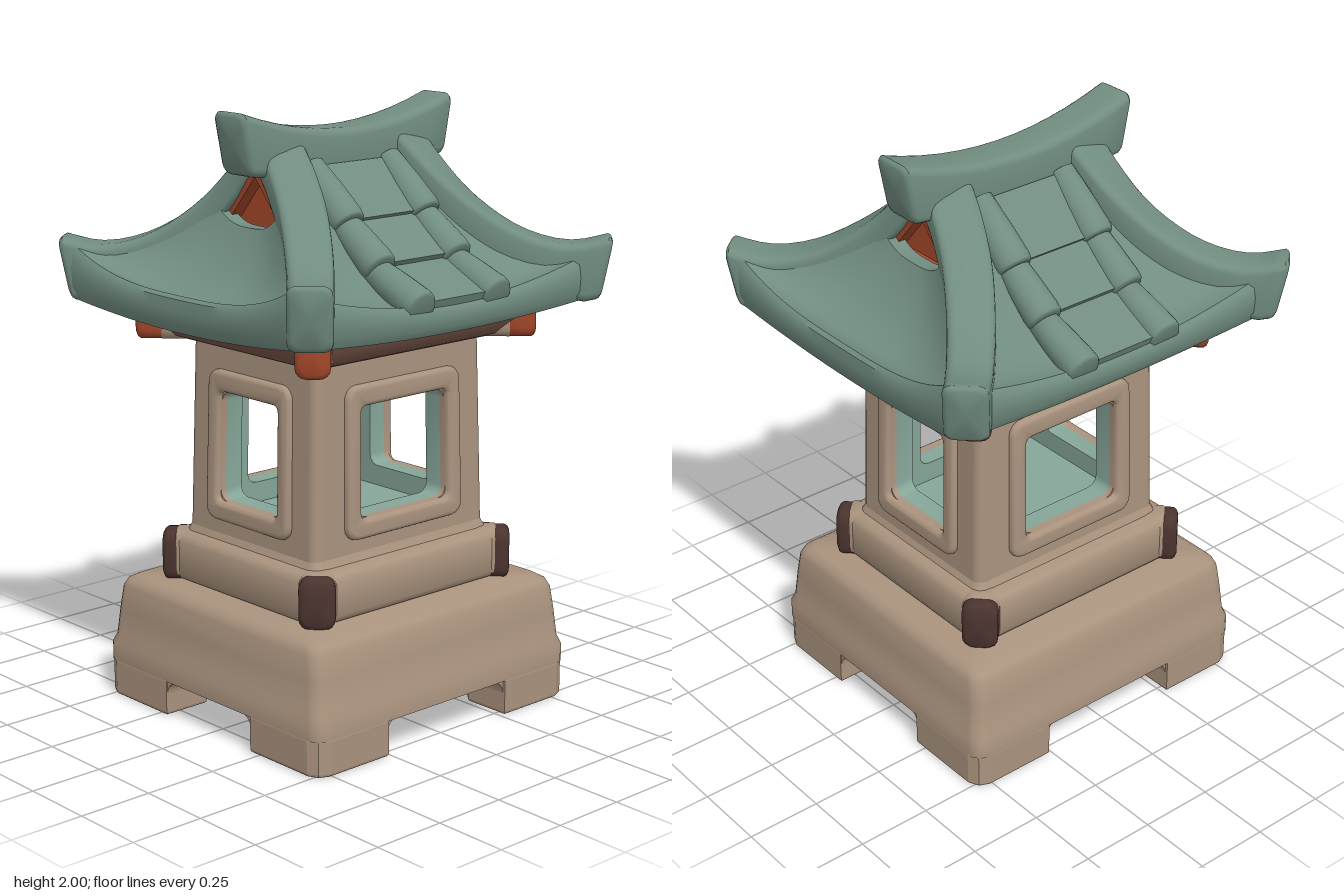
import * as THREE from 'three';
import { toCreasedNormals } from 'three/addons/utils/BufferGeometryUtils.js';

const mat = (name, color, side = THREE.FrontSide) => new THREE.MeshStandardMaterial({ name, color, side });
const V = (x, y, z) => new THREE.Vector3(x, y, z);
const SIGNS = [-1, 1];
const CORNERS = [[1, 1], [1, -1], [-1, 1], [-1, -1]];

// Joins rows of points into a surface; closed rows form a capped tube
function skin(rows, closed = true) {
  const n = rows[0].length, pos = rows.flat().flatMap(p => [p.x, p.y, p.z]), idx = [];
  for (let i = 0; i < rows.length - 1; i++) {
    for (let j = 0; j < (closed ? n : n - 1); j++) {
      const a = i * n + j, b = i * n + (j + 1) % n;
      idx.push(a, b, a + n, b, b + n, a + n);
    }
  }
  if (closed) [0, rows.length - 1].forEach(i => {
    const c = rows[i].reduce((s, p) => s.add(p), V(0, 0, 0)).divideScalar(n), k = pos.length / 3;
    pos.push(c.x, c.y, c.z);
    for (let j = 0; j < n; j++) {
      const a = i * n + j, b = i * n + (j + 1) % n;
      if (i) idx.push(k, a, b); else idx.push(k, b, a);
    }
  });
  const g = new THREE.BufferGeometry();
  g.setAttribute('position', new THREE.Float32BufferAttribute(pos, 3));
  g.setIndex(idx);
  return toCreasedNormals(g, 0.8);
}

// Rounded rectangle as [a, b] pairs
function roundRect(ha, hb, r, n = 4) {
  const pts = [];
  [[1, 1], [-1, 1], [-1, -1], [1, -1]].forEach(([sa, sb], q) => {
    for (let i = 0; i <= n; i++) {
      const t = (q + i / n) * Math.PI / 2;
      pts.push([sa * (ha - r) + r * Math.cos(t), sb * (hb - r) + r * Math.sin(t)]);
    }
  });
  return pts;
}

// Stacks [y, halfX, halfZ] sections
const loft = (sections, r) => skin(sections.map(([y, hx, hz]) => roundRect(hz, hx, r).map(([a, b]) => V(b, y, a))));

// Upright rounded bar through stations { p, w, h, shear }, with rounded ends
function sweep(stations, r = 0.028) {
  const last = stations.length - 1;
  const dir = i => stations[Math.min(i + 1, last)].p.clone().sub(stations[Math.max(i - 1, 0)].p).setY(0).normalize();
  const ring = (i, out = 0, inset = 0) => {
    const { p, w, h, shear = 0 } = stations[i], T = dir(i), S = V(0, 1, 0).cross(T);
    return roundRect(w - inset, h - inset, r).map(([a, b]) =>
      p.clone().addScaledVector(S, a).addScaledVector(T, out + shear * b / h).add(V(0, b, 0)));
  };
  return skin([ring(0, -0.016, 0.015), ring(0, -0.01, 0.005), ...stations.map((_, i) => ring(i)),
    ring(last, 0.01, 0.005), ring(last, 0.016, 0.015)]);
}

// Wall panel or frame with a rounded window opening
function outline(target, hw, y0, y1, r) {
  const c = (y0 + y1) / 2;
  target.setFromPoints(roundRect(hw, (y1 - y0) / 2, r).map(([a, b]) => new THREE.Vector2(a, b + c)));
  return target;
}
function panelWithWindow(hw, y0, y1, r, hole, depth, bevel) {
  const s = outline(new THREE.Shape(), hw - bevel, y0 + bevel, y1 - bevel, r);
  s.holes.push(outline(new THREE.Path(), hole + bevel, 0.72 - bevel, 1.085 + bevel, 0.035));
  return new THREE.ExtrudeGeometry(s, { depth, bevelEnabled: bevel > 0, bevelSize: bevel, bevelThickness: bevel, bevelSegments: 4 });
}

export function createModel() {
  const model = new THREE.Group();
  model.name = 'stoneLantern';
  const stone = mat('sandStone', 0xaa937e), green = mat('greenTile', 0x718d80, THREE.DoubleSide);
  const teal = mat('paleTealInside', 0x86a699), dark = mat('darkBrown', 0x4c342f);
  const rust = mat('rustRed', 0xa5482a), brown = mat('mauveBrown', 0x7a574a);
  const add = (name, geo, material, parent = model) => {
    const m = new THREE.Mesh(geo, material);
    m.name = name;
    parent.add(m);
    return m;
  };

  // Plinth with a hollow underside and four feet
  add('plinth', loft([[0.2, 0.34, 0.37], [0.13, 0.38, 0.41], [0.12, 0.4, 0.43], [0.12, 0.534, 0.564], [0.18, 0.534, 0.564],
    [0.21, 0.522, 0.553], [0.3, 0.512, 0.546], [0.38, 0.501, 0.538], [0.405, 0.488, 0.528], [0.42, 0.46, 0.505]], 0.05), stone);
  for (const [sx, sz] of CORNERS) {
    const pts = [[0.225, 0.552], [0.48, 0.552], [0.509, 0.538], [0.522, 0.51], [0.522, 0.275], [0.37, 0.275], [0.225, 0.4]];
    const foot = new THREE.ExtrudeGeometry(new THREE.Shape(pts.map(([x, z]) => new THREE.Vector2(x * sx, z * sz))),
      { depth: 0.105, bevelSize: 0.012, bevelThickness: 0.012, bevelSegments: 3 });
    foot.rotateX(Math.PI / 2).translate(0, 0.117, 0);
    add('foot', foot, stone);
    // Fillets rounding the top corners of the arches between the feet
    const fillet = new THREE.Shape();
    fillet.moveTo(-0.01, 0).lineTo(0.045, 0).quadraticCurveTo(0.005, -0.005, 0, -0.045).lineTo(-0.01, -0.045);
    const cove = new THREE.ExtrudeGeometry(fillet, { depth: 0.13, bevelEnabled: false, curveSegments: 6 });
    const frontCove = add('archFillet', cove, stone);
    frontCove.rotation.y = sx > 0 ? Math.PI : 0;
    frontCove.position.set(sx * 0.213, 0.121, sz * 0.495 + sx * 0.065);
    const sideCove = add('archFillet', cove, stone);
    sideCove.rotation.y = sz > 0 ? Math.PI / 2 : -Math.PI / 2;
    sideCove.position.set(sx * 0.46 - sz * 0.065, 0.121, sz * 0.263);
  }

  // Sill with dark-tipped corner beams, and the eave corner beams above
  add('sill', loft([[0.415, 0.35, 0.4], [0.425, 0.372, 0.422], [0.445, 0.383, 0.433], [0.555, 0.383, 0.433],
    [0.575, 0.372, 0.422], [0.585, 0.35, 0.4]], 0.03), stone);
  const diagonal = (sx, sz, x0, x1, dz, y, w, h) =>
    sweep([x0, x1].map(x => ({ p: V(sx * x, y, sz * (x + dz)), w, h })), 0.035);
  for (const [sx, sz] of CORNERS) {
    add('sillCornerBeam', diagonal(sx, sz, 0.27, 0.345, 0.05, 0.503, 0.06, 0.084), stone);
    add('sillBeamTip', diagonal(sx, sz, 0.34, 0.37, 0.05, 0.5, 0.058, 0.084), dark);
    add('eaveCornerBeam', diagonal(sx, sz, 0.28, 0.368, 0.06, 1.315, 0.055, 0.081), stone);
    add('eaveBeamTip', diagonal(sx, sz, 0.365, 0.417, 0.06, 1.318, 0.055, 0.083), rust);
  }

  // Lantern chamber: four walls with window openings and raised frames
  const taper = geo => {
    const p = geo.attributes.position;
    for (let i = 0; i < p.count; i++) {
      const k = 1.025 - 0.045 * (p.getY(i) - 0.58) / 0.66;
      p.setXYZ(i, p.getX(i) * k, p.getY(i), p.getZ(i) * k);
    }
    geo.computeVertexNormals();
    return toCreasedNormals(geo, 0.6);
  };
  const walls = [[0.275, 0.37, 0.145, 0.2, 0], [0.335, 0.31, 0.19, 0.25, 1], [0.275, 0.37, 0.145, 0.2, 2], [0.335, 0.31, 0.19, 0.25, 3]];
  for (const [hw, dist, hole, frame, turn] of walls) {
    const place = (geo, z) => taper(geo.translate(0, 0, z).rotateY(turn * Math.PI / 2));
    add('wall', place(panelWithWindow(hw, 0.57, 1.25, 0.005, hole, 0.02, 0), dist - 0.02), stone);
    add('wallLining', place(panelWithWindow(hw, 0.57, 1.25, 0.005, hole, 0.065, 0), dist - 0.085), teal);
    add('windowFrame', place(panelWithWindow(frame, 0.655, 1.155, 0.03, hole, 0.006, 0.016), dist), stone);
  }
  for (const [sx, sz] of CORNERS) {
    add('cornerPost', taper(new THREE.CylinderGeometry(0.035, 0.035, 0.68, 20).translate(sx * 0.275, 0.91, sz * 0.335)), stone);
  }
  add('chamberBase', loft([[0.57, 0.335, 0.395], [0.59, 0.325, 0.385], [0.63, 0.31, 0.37], [0.641, 0.26, 0.32]], 0.035), stone);
  add('chamberFloor', new THREE.BoxGeometry(0.5, 0.008, 0.62).translate(0, 0.646, 0), teal);
  add('eaveSoffit', loft([[1.235, 0.33, 0.39], [1.25, 0.37, 0.43], [1.3, 0.415, 0.475], [1.4, 0.43, 0.49]], 0.03), brown);

  // Hip line from ridge to corner, following the top of the hip ridges
  const hip = new THREE.CatmullRomCurve3([V(0.03, 1.92, 0.27), V(0.1, 1.845, 0.285), V(0.2, 1.74, 0.325),
    V(0.3, 1.645, 0.39), V(0.4, 1.575, 0.47), V(0.5, 1.545, 0.558), V(0.58, 1.568, 0.633)]);

  // Roof slopes hang between the hips, then roll under at the eave
  const cols = Array.from({ length: 25 }, (_, i) => i / 12 - 1);
  const slope = (front, v0) => {
    const at = (v, s, out = 0) => {
      const p = hip.getPoint(v), b = 1 - s * s;
      if (!front) return V(p.x - 0.02 * b * v + out, p.y - 0.04 - b * (0.04 + 0.06 * v * v), s * p.z);
      // The gable slopes start flush with the outer top edge of the hip ridges
      const t = hip.getTangent(v).setY(0).normalize(), w = 0.068 - 0.014 * v;
      return V(-s * (p.x - t.z * w), p.y - 0.018 - 0.092 * (1 - Math.abs(s) ** 3), p.z + t.x * w - 0.012 * b + out);
    };
    const rows = front ? [cols.map(s => at(v0, s).setZ(0.32))] : [];
    for (let i = 0; i <= 14; i++) rows.push(cols.map(s => at(v0 + (0.97 - v0) * i / 14, s)));
    const bottom = s => 1.335 + 0.035 * s * s;
    for (const [out, drop] of [[0, 0.12], [0.004, 0.4], [0.002, 0.75], [-0.014, 1]]) {
      rows.push(cols.map(s => {
        const p = at(1, s, out);
        return p.setY(THREE.MathUtils.lerp(p.y, bottom(s), drop));
      }));
    }
    rows.push(cols.map(s => at(1, s).multiply(V(0.7, 0, 0.72)).setY(1.37)));
    return skin(rows, false);
  };
  for (const turn of [0, Math.PI]) {
    add('sideSlope', slope(false, 0), green).rotation.y = turn;
    add('gableSlope', slope(true, 0.33), green).rotation.y = turn;
  }

  // Curled hip ridges
  for (const [sx, sz] of CORNERS) {
    const stations = [];
    for (let i = 0; i <= 18; i++) {
      const v = i / 18, p = hip.getPoint(v), flare = THREE.MathUtils.smoothstep(v, 0.7, 0.97);
      const h = 0.065 + 0.037 * flare;
      stations.push({ p: V(sx * p.x, p.y - h, sz * p.z), w: 0.08 - 0.012 * v, h, shear: 0.02 * flare });
    }
    add('hipRidge', sweep(stations), green);
  }

  // Main ridge, rising toward both ends
  const ridge = [];
  for (let i = 0; i <= 12; i++) {
    const t = i / 6 - 1, top = 1.922 + 0.077 * t * t, h = 0.075 + 0.025 * t * t;
    ridge.push({ p: V(0, top - h, 0.42 * t), w: 0.075, h, shear: 0.02 * t });
  }
  add('mainRidge', sweep(ridge), green);

  // Recessed gable triangles in a raised surround
  const triangle = (Kind, hw, y0, y1) => new Kind([[-hw, y0], [hw, y0], [0, y1]].map(p => new THREE.Vector2(...p)));
  const surround = triangle(THREE.Shape, 0.19, 1.59, 1.86);
  surround.holes.push(triangle(THREE.Path, 0.14, 1.625, 1.79));
  for (const turn of [0, Math.PI]) {
    const prism = (shape, z0, z1) => new THREE.ExtrudeGeometry(shape, { depth: z1 - z0, bevelEnabled: false }).translate(0, 0, z0);
    add('gable', prism(triangle(THREE.Shape, 0.17, 1.6, 1.83), 0.25, 0.3), rust).rotation.y = turn;
    add('gableSurround', prism(surround, 0.3, 0.345), rust).rotation.y = turn;
  }

  // Overlapping tile courses with round ribs on both side slopes
  const courses = [[0.06, 1.81, 0.24, 1.645], [0.17, 1.68, 0.385, 1.525], [0.32, 1.535, 0.567, 1.428]];
  for (const s of SIGNS) {
    const tiles = new THREE.Group();
    tiles.name = 'roofTiles';
    tiles.rotation.y = s > 0 ? 0 : Math.PI;
    model.add(tiles);
    for (const [x0, y0, x1, y1] of courses) {
      const len = Math.hypot(x1 - x0, y1 - y0), angle = Math.atan2(x1 - x0, y0 - y1);
      const put = (name, geo, z) => {
        const m = add(name, geo, green, tiles);
        m.position.set((x0 + x1) / 2, (y0 + y1) / 2, z);
        m.rotation.z = angle;
      };
      put('tile', new THREE.BoxGeometry(0.035, len * 0.92, 0.34), 0);
      // Rib profile: rounded lip at the lower end, narrower at the top
      const profile = [[0, -0.5], [0.05, -0.5], [0.058, -0.46], [0.06, -0.38], [0.055, 0], [0.044, 0.5], [0, 0.5]];
      for (const sz of SIGNS) {
        put('tileRib', new THREE.LatheGeometry(profile.map(([r, y]) => new THREE.Vector2(r, y * len)), 20), sz * 0.165);
      }
    }
  }
  return model;
}
